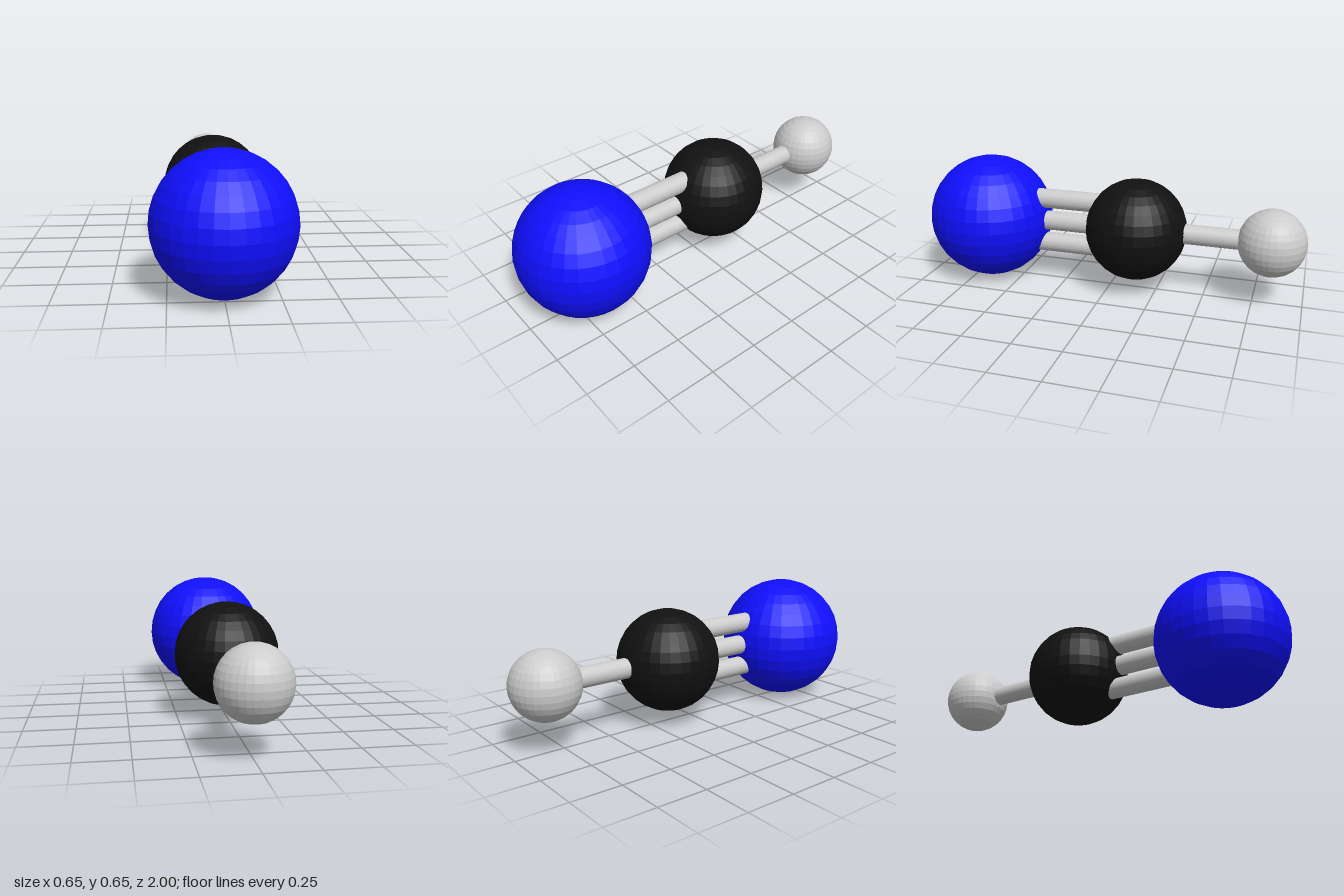
import * as THREE from 'three';

const material = (color) => new THREE.MeshStandardMaterial({ color, flatShading: true });

export function createModel() {
  const group = new THREE.Group();
  const grey = material(0xcccccc);
  const centreY = 0.328;

  // Atoms: faceted spheres in a row along z
  const addAtom = (name, radius, z, mat) => {
    const atom = new THREE.Mesh(new THREE.SphereGeometry(radius, 32, 16), mat);
    atom.name = name;
    atom.position.set(0, centreY, z);
    group.add(atom);
  };
  const nitrogenZ = 0.673, carbonZ = -0.139, hydrogenZ = -0.83;
  addAtom('nitrogenAtom', 0.327, nitrogenZ, material(0x0f0fff));
  addAtom('carbonAtom', 0.262, carbonZ, material(0x111111));
  addAtom('hydrogenAtom', 0.17, hydrogenZ, grey);

  // Bonds: rods running between atom centres
  const addBond = (name, z0, z1, offsetY = 0) => {
    const rod = new THREE.CylinderGeometry(0.051, 0.051, Math.abs(z1 - z0), 32);
    rod.rotateX(Math.PI / 2);
    const bond = new THREE.Mesh(rod, grey);
    bond.name = name;
    bond.position.set(0, centreY + offsetY, (z0 + z1) / 2);
    group.add(bond);
  };
  addBond('singleBond', carbonZ, hydrogenZ);
  [['Upper', 0.122], ['Middle', 0], ['Lower', -0.122]].forEach(([place, y]) =>
    addBond('tripleBond' + place, nitrogenZ, carbonZ, y));

  return group;
}
